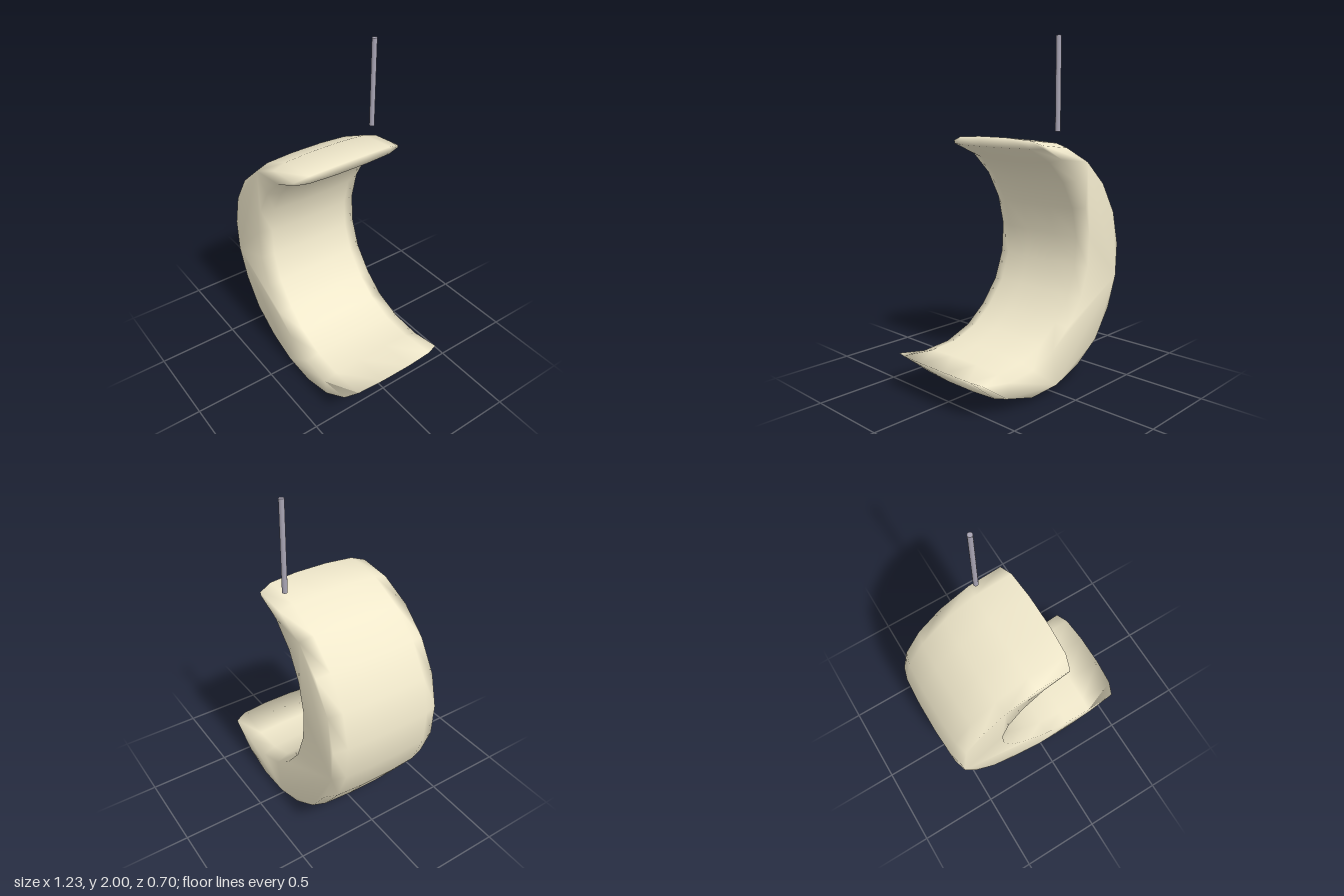
import * as THREE from 'three';

// Crescent outline at mid depth, counter-clockwise: outer arc, pointed tip, inner arc
const outline = [
  [0.155, 1.455], [-0.09, 1.43], [-0.29, 1.335], [-0.45, 1.19], [-0.565, 1.0], [-0.615, 0.79],
  [-0.605, 0.58], [-0.53, 0.38], [-0.40, 0.20], [-0.22, 0.08], [-0.02, 0.01], [0.20, 0.0], [0.41, 0.06],
  [0.615, 0.232],
  [0.38, 0.212], [0.20, 0.225], [0.04, 0.285], [-0.085, 0.385], [-0.195, 0.525], [-0.255, 0.69],
  [-0.265, 0.86], [-0.225, 1.03], [-0.14, 1.185], [-0.02, 1.305], [0.15, 1.395],
].map(([x, y]) => new THREE.Vector2(x, y));

// Depth of each ring and how far its outline is drawn in
const rings = [
  [-0.35, 0.034], [-0.27, 0.011], [-0.1, 0.002], [0.1, 0.002], [0.27, 0.011], [0.35, 0.034],
];

// Inward direction at every outline point, with a limited mitre at the tips
function inwardDirections(points) {
  const n = points.length;
  const dirs = points.map((p, i) => {
    const a = p.clone().sub(points[(i + n - 1) % n]).normalize();
    const b = points[(i + 1) % n].clone().sub(p).normalize();
    const na = new THREE.Vector2(-a.y, a.x);
    const nb = new THREE.Vector2(-b.y, b.x);
    const m = na.clone().add(nb).normalize();
    return m.multiplyScalar(Math.min(1 / Math.max(m.dot(na), 0.1), 1.5));
  });
  // the lower corner of the thin blunt tip only draws back, so the tip never crosses itself
  dirs[n - 1].set(-1, 0.15);
  return dirs;
}

// Barrel-sided crescent slab with shared vertices for soft shading
function crescentGeometry() {
  const n = outline.length;
  const dirs = inwardDirections(outline);
  const positions = [];
  const index = [];
  rings.forEach(([z, inset]) => outline.forEach((p, i) => {
    positions.push(p.x + dirs[i].x * inset, p.y + dirs[i].y * inset, z);
  }));
  for (let k = 0; k < rings.length - 1; k++) {
    for (let i = 0; i < n; i++) {
      const j = (i + 1) % n;
      const a = k * n + i, b = k * n + j;
      index.push(a, b, b + n, a, b + n, a + n);
    }
  }
  // flat front and back
  const front = (rings.length - 1) * n;
  for (const [a, b, c] of THREE.ShapeUtils.triangulateShape(outline, [])) {
    index.push(front + a, front + b, front + c, a, c, b);
  }
  const g = new THREE.BufferGeometry();
  g.setAttribute('position', new THREE.Float32BufferAttribute(positions, 3));
  g.setIndex(index);
  g.computeVertexNormals();
  return g;
}

export function createModel() {
  const model = new THREE.Group();

  const crescent = new THREE.Mesh(
    crescentGeometry(),
    new THREE.MeshStandardMaterial({ color: 0xf0e8cb }),
  );
  crescent.name = 'crescentMoon';
  model.add(crescent);

  // Hanging rod above the back of the moon
  const rod = new THREE.Mesh(
    new THREE.CylinderGeometry(0.015, 0.015, 0.515, 12),
    new THREE.MeshStandardMaterial({ color: 0xa9a5b4 }),
  );
  rod.name = 'hangingRod';
  rod.position.set(-0.06, 1.7425, -0.3);
  model.add(rod);

  return model;
}
